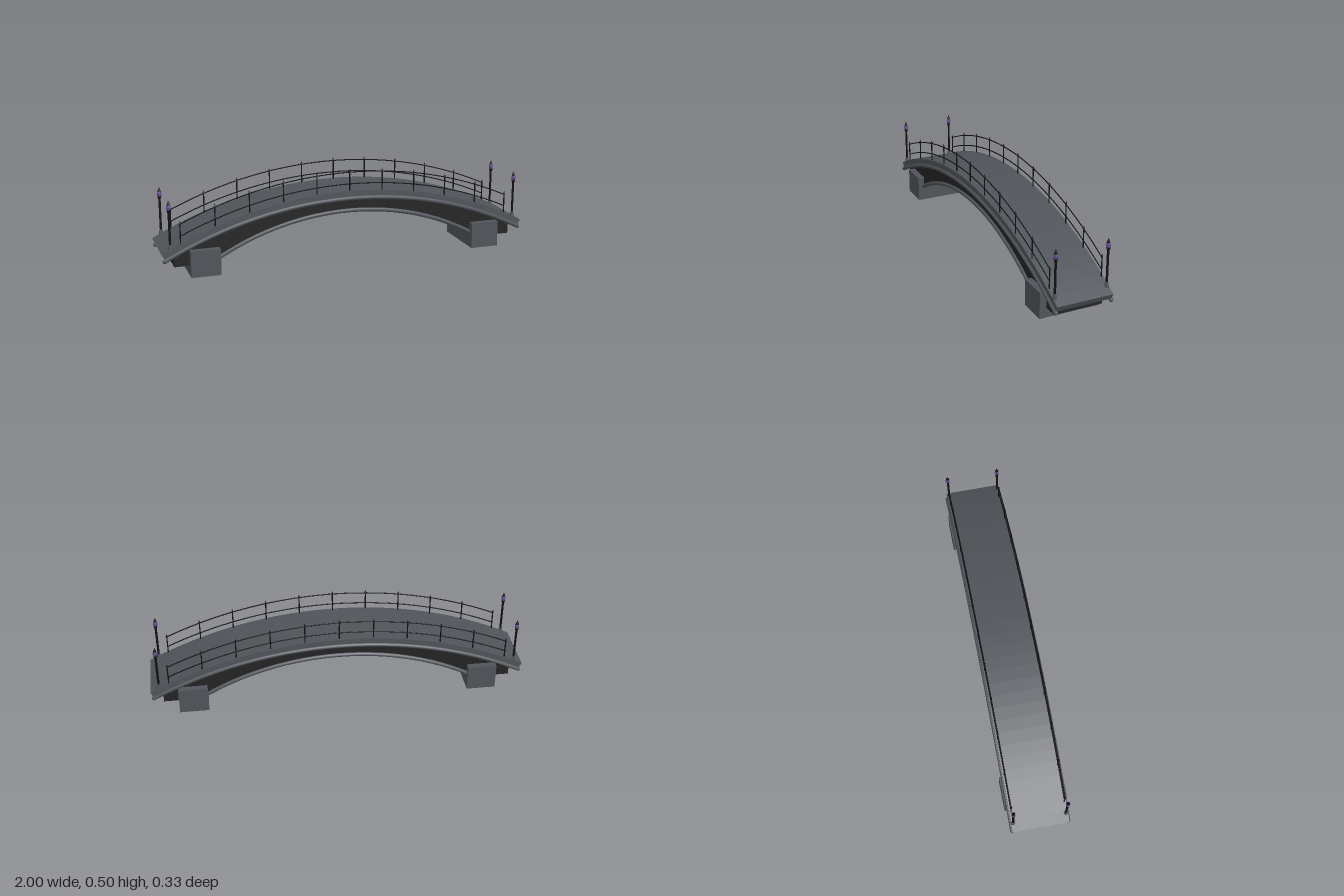
import * as THREE from 'three';

const mat = (name, color) => {
  const m = new THREE.MeshStandardMaterial({ color });
  m.name = name;
  return m;
};

export function createModel() {
  const stone = mat('grey stone', 0x50545a);
  const dark = mat('dark stone', 0x242424);
  const iron = mat('black iron', 0x111113);
  const glass = mat('purple glass', 0x6a4690);
  const bridge = new THREE.Group();
  bridge.name = 'archBridge';

  const add = (parent, name, geo, material, x = 0, y = 0, z = 0) => {
    const m = new THREE.Mesh(geo, material);
    m.name = name;
    m.position.set(x, y, z);
    parent.add(m);
    return m;
  };

  // Height of a circular arc of radius r with its crown at the given height
  const arcY = (x, crown, r) => crown - r + Math.sqrt(r * r - x * x);
  const deckR = 2.147, soffitR = 1.417;
  const deckY = (x) => arcY(x, 0.38, deckR);
  const arcPoints = (half, crown, r, n = 32) => {
    const a = Math.asin(half / r), pts = [];
    for (let i = 0; i <= n; i++) {
      const t = -a + (2 * a * i) / n;
      pts.push(new THREE.Vector2(r * Math.sin(t), crown - r + r * Math.cos(t)));
    }
    return pts;
  };
  const extrude = (pts, halfWidth) => {
    const g = new THREE.ExtrudeGeometry(new THREE.Shape(pts), { depth: 2 * halfWidth, bevelEnabled: false });
    return g.translate(0, 0, -halfWidth);
  };
  const tubeAlong = (pts, radius, sides, n) => new THREE.TubeGeometry(
    new THREE.CatmullRomCurve3(pts.map((p) => new THREE.Vector3(p.x, p.y, 0))), n, radius, sides);

  // Curved deck slab
  const top = arcPoints(1, 0.38, deckR);
  const under = arcPoints(0.983, 0.344, deckR - 0.036);
  add(bridge, 'deck', extrude([...top, ...under.reverse()], 0.15), stone);

  // Solid arch body with abutments at both ends
  const body = [
    ...arcPoints(0.935, 0.35, deckR - 0.03),
    new THREE.Vector2(0.935, 0.055), new THREE.Vector2(0.73, 0.055),
    ...arcPoints(0.72, 0.272, soffitR).reverse(),
    new THREE.Vector2(-0.73, 0.055), new THREE.Vector2(-0.935, 0.055),
  ];
  add(bridge, 'archBody', extrude(body, 0.13), dark);

  // Footings
  for (const s of [-1, 1]) {
    add(bridge, 'footing', new THREE.BoxGeometry(0.155, 0.14, 0.33), stone, s * 0.778, 0.07, 0);
  }

  // Edge mouldings, arch ribs and railings on both sides
  const moulding = tubeAlong(arcPoints(0.985, 0.34, deckR - 0.04), 0.011, 8, 32);
  const rib = tubeAlong(arcPoints(0.74, 0.271, soffitR), 0.011, 8, 24);
  const rails = [0.1, 0.037].map((h) => tubeAlong(arcPoints(0.9, 0.38 + h, deckR), 0.003, 6, 40));
  const post = new THREE.CylinderGeometry(0.0035, 0.0035, 0.11, 6);
  const finial = new THREE.ConeGeometry(0.006, 0.02, 6);
  const endCap = new THREE.SphereGeometry(0.011, 8, 6);
  for (const s of [-1, 1]) {
    add(bridge, 'edgeMoulding', moulding, stone, 0, 0, s * 0.149);
    for (const e of [-1, 1]) {
      add(bridge, 'mouldingEnd', endCap, stone, e * 0.985, arcY(0.985, 0.34, deckR - 0.04), s * 0.149);
    }
    add(bridge, 'archRib', rib, stone, 0, 0, s * 0.132);
    const railing = new THREE.Group();
    railing.name = 'railing';
    railing.position.z = s * 0.14;
    bridge.add(railing);
    rails.forEach((g) => add(railing, 'rail', g, iron));
    for (let i = -5; i <= 5; i++) {
      const x = i * 0.18, y = deckY(x);
      add(railing, 'railPost', post, iron, x, y + 0.05, 0);
      add(railing, 'postFinial', finial, iron, x, y + 0.11, 0);
    }
  }

  // Lamp posts at the four corners
  const base = new THREE.CylinderGeometry(0.008, 0.013, 0.034, 8);
  const pole = new THREE.CylinderGeometry(0.006, 0.006, 0.18, 8);
  const collar = new THREE.CylinderGeometry(0.011, 0.007, 0.012, 8);
  const lantern = new THREE.LatheGeometry(
    [[0, 0.358], [0.008, 0.358], [0.0115, 0.368], [0.0115, 0.378], [0.007, 0.388], [0, 0.388]]
      .map(([r, y]) => new THREE.Vector2(r, y)), 8);
  const cap = new THREE.ConeGeometry(0.009, 0.026, 8);
  for (const sx of [-1, 1]) for (const sz of [-1, 1]) {
    const lamp = new THREE.Group();
    lamp.name = 'lampPost';
    lamp.position.set(sx * 0.953, 0, sz * 0.139);
    bridge.add(lamp);
    add(lamp, 'lampBase', base, stone, 0, 0.163, 0);
    add(lamp, 'lampPole', pole, iron, 0, 0.265, 0);
    add(lamp, 'lampCollar', collar, iron, 0, 0.353, 0);
    add(lamp, 'lantern', lantern, glass);
    add(lamp, 'lanternCap', cap, iron, 0, 0.398, 0);
  }
  return bridge;
}
